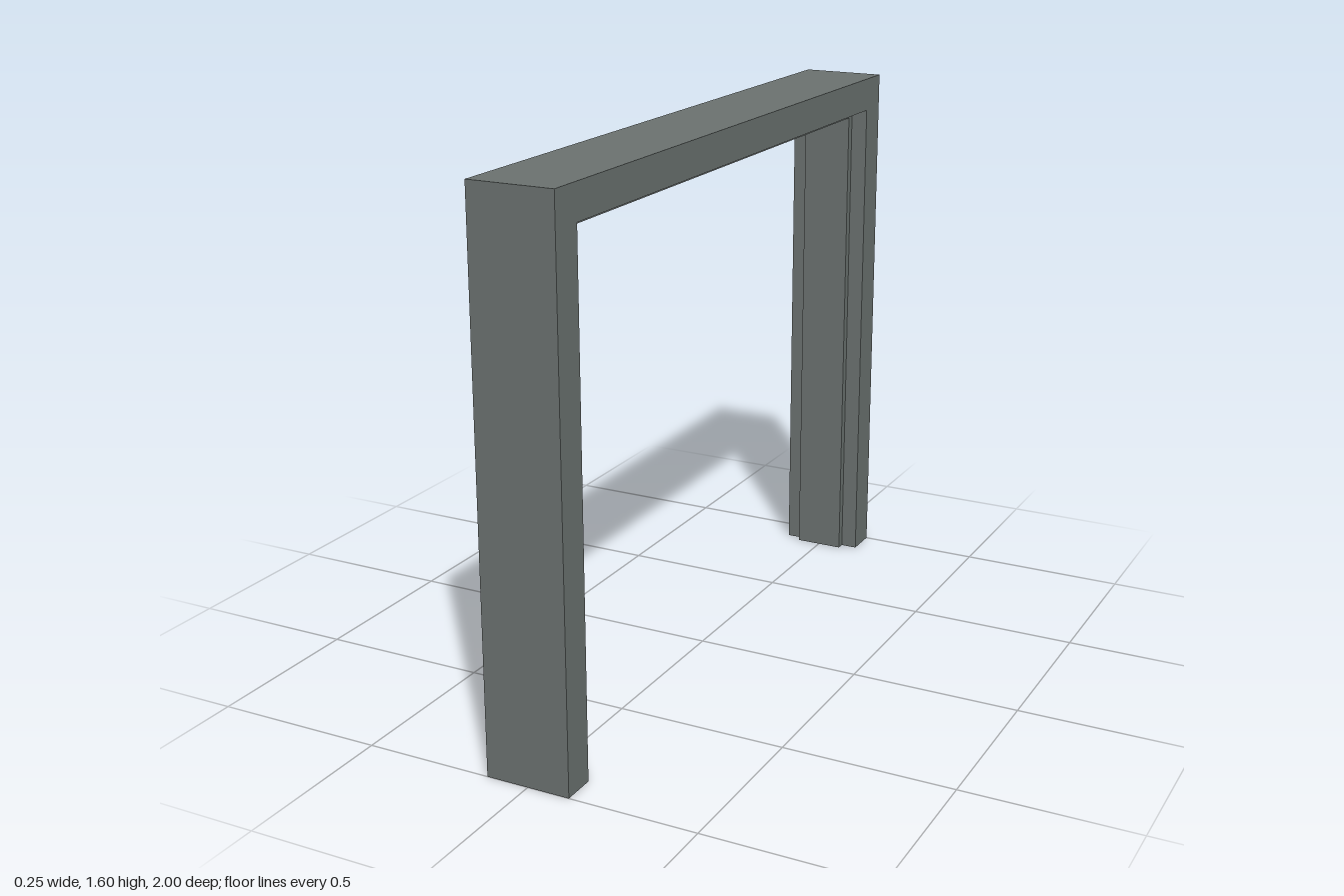
import * as THREE from 'three';

const HALF_LENGTH = 1, HEIGHT = 1.6;

// Cross-section as [x, depth inward from the outer face]: flat jamb with a raised stop
const section = [
  [-0.125, 0], [0.125, 0], [0.125, 0.1], [0.075, 0.1],
  [0.075, 0.125], [-0.075, 0.125], [-0.075, 0.1], [-0.125, 0.1],
];

// Points of one section corner along the mitred path: up, across, down
function path([x, d]) {
  const z = HALF_LENGTH - d, y = HEIGHT - d;
  return [[x, 0, z], [x, y, z], [x, y, -z], [x, 0, -z]];
}

// Strip of the section swept along one leg of the path, hollow and open at the ends
function sweepLeg(leg) {
  const positions = [];
  section.forEach((corner, i) => {
    const p = path(corner), q = path(section[(i + 1) % section.length]);
    const a = p[leg], b = q[leg], c = q[leg + 1], d = p[leg + 1];
    positions.push(...a, ...b, ...c, ...a, ...c, ...d);
  });
  const geometry = new THREE.BufferGeometry();
  geometry.setAttribute('position', new THREE.Float32BufferAttribute(positions, 3));
  geometry.computeVertexNormals();
  return geometry;
}

export function createModel() {
  const group = new THREE.Group();
  group.name = 'doorFrame';

  const material = new THREE.MeshStandardMaterial({ color: 0x6b7270, side: THREE.DoubleSide });
  material.name = 'grey paint';

  // Front jamb, head and back jamb meet at mitred corners
  ['frontJamb', 'head', 'backJamb'].forEach((name, leg) => {
    const mesh = new THREE.Mesh(sweepLeg(leg), material);
    mesh.name = name;
    group.add(mesh);
  });
  return group;
}
